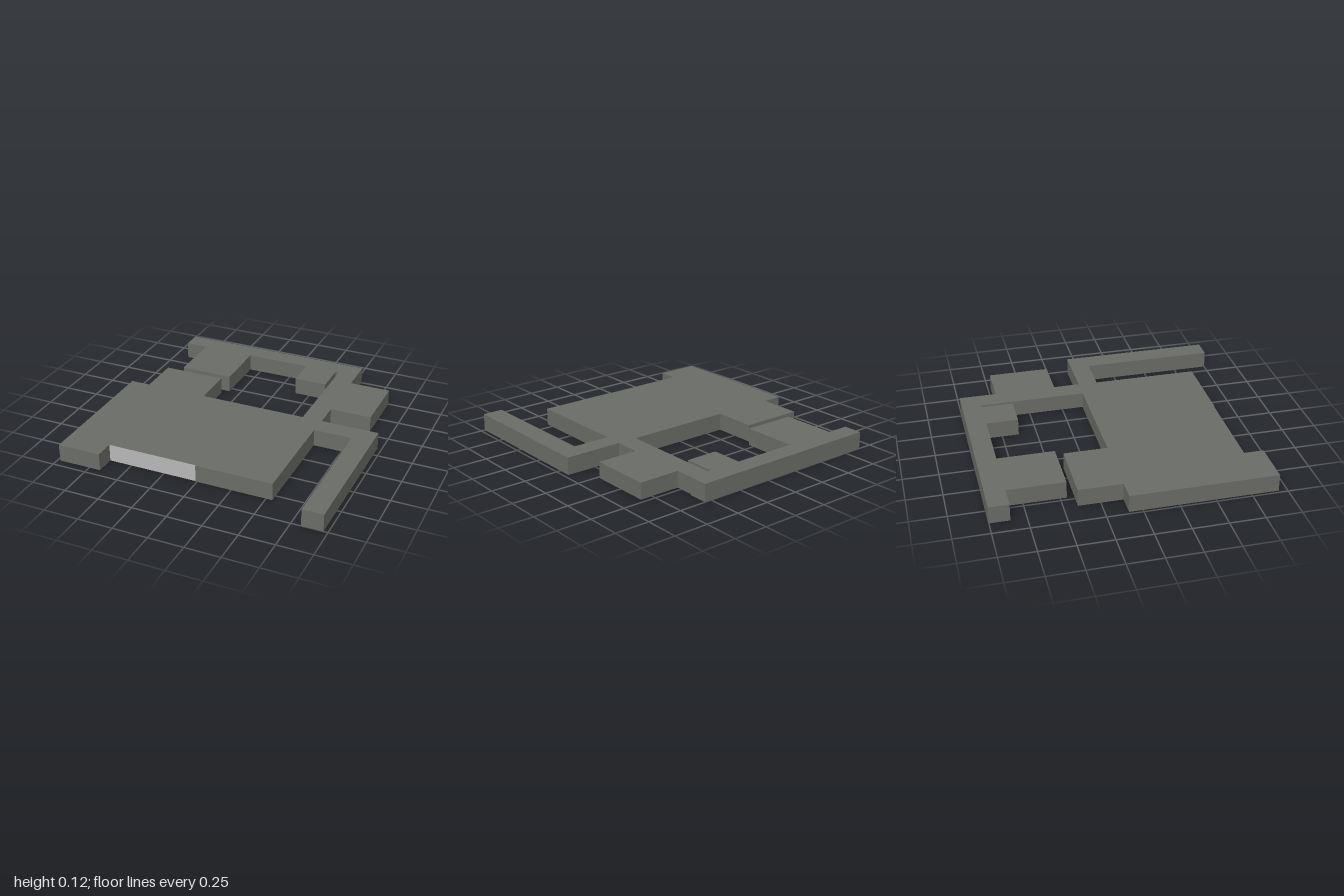
import * as THREE from 'three';

const HEIGHT = 0.125;

export function createModel() {
  const group = new THREE.Group();
  const olive = new THREE.MeshStandardMaterial({ color: 0x6a6c66 });
  olive.name = 'olive grey';
  const pale = new THREE.MeshStandardMaterial({ color: 0xb8b8b8 });
  pale.name = 'pale grey';

  // Block spanning x0..x1 and z0..z1, from y0 to the common top
  function block(name, x0, x1, z0, z1, material = olive, y0 = 0) {
    const geometry = new THREE.BoxGeometry(x1 - x0, HEIGHT - y0, z1 - z0);
    geometry.translate((x0 + x1) / 2, (HEIGHT + y0) / 2, (z0 + z1) / 2);
    const mesh = new THREE.Mesh(geometry, material);
    mesh.name = name;
    group.add(mesh);
  }

  // Corridors
  block('backCorridor', -0.89, 0.55, -1, -0.86);
  block('linkCorridor', 0.405, 0.55, -0.86, -0.095, olive, 0.008);
  block('crossCorridor', -0.98, 0.97, -0.095, 0.045);
  block('rightCorridor', -0.98, -0.665, 0.045, 0.94);
  block('leftCorridor', 0.82, 0.97, 0.045, 1);

  // Side rooms
  block('backRoom', -0.725, -0.335, -0.86, -0.455);
  block('closet', 0.14, 0.38, -0.86, -0.63);
  block('leftRoom', 0.55, 0.85, -0.73, -0.285, olive, 0.008);
  block('rightRoom', -0.835, -0.38, -0.405, -0.095);

  // Main hall: pale undersides, and a pale front wall on one half
  // (material order: +x, -x, top, bottom, front, back)
  block('hallPaleHalf', -0.665, -0.01, 0.045, 0.8, [olive, olive, olive, pale, pale, olive]);
  block('hallDarkHalf', -0.01, 0.545, 0.045, 0.805, [olive, olive, olive, pale, olive, olive]);

  return group;
}
